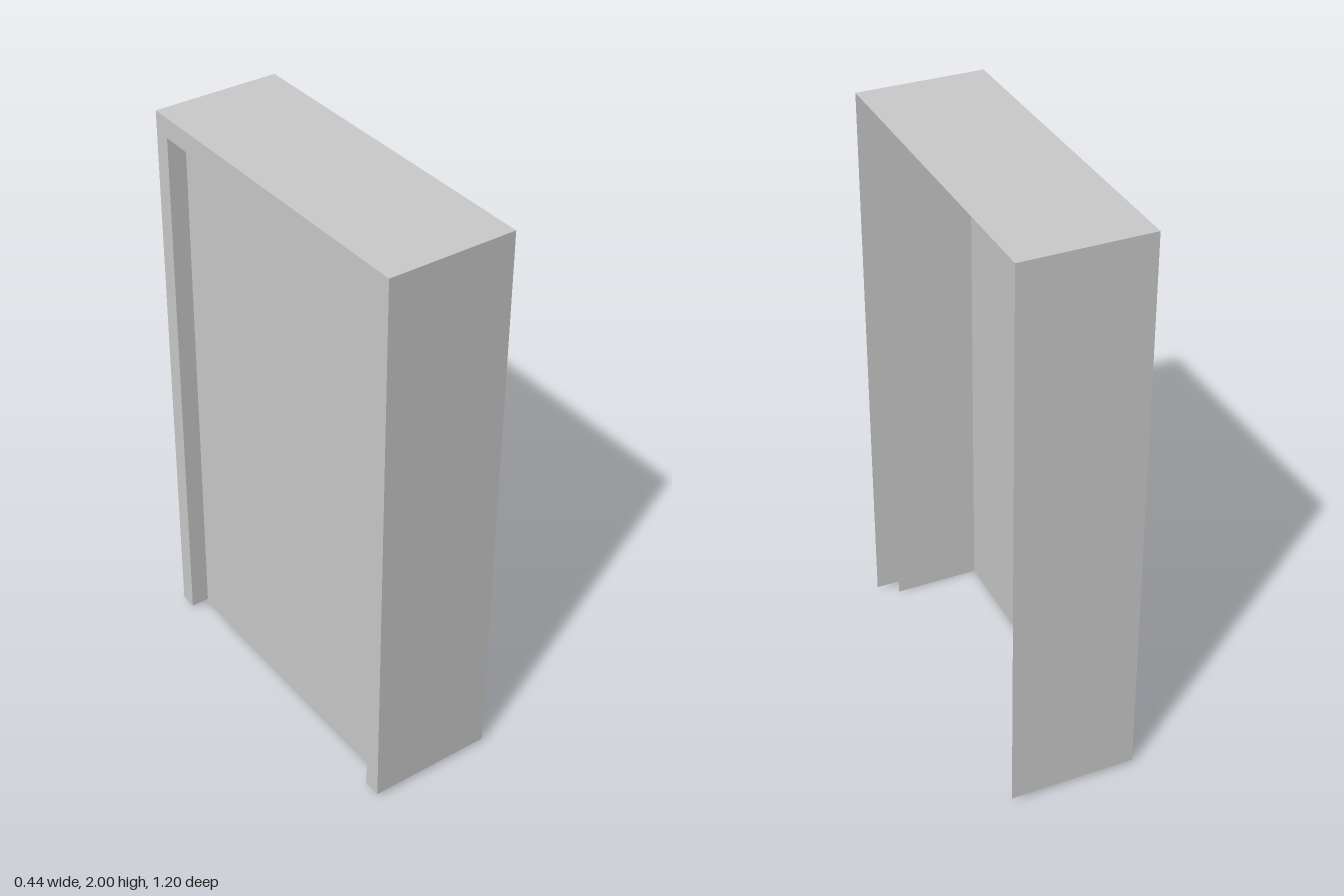
import * as THREE from 'three';

const material = new THREE.MeshStandardMaterial({ color: 0xcccccc, flatShading: true, side: THREE.DoubleSide });

// Sweeps a profile of [x, halfWidth, top] points around a door-shaped arch (up, over, down).
function archSweep(name, profile, bottom) {
  const rings = profile.map(([x, w, top]) => [
    [x, bottom, w], [x, top, w], [x, top, -w], [x, bottom, -w],
  ]);
  const positions = [];
  for (let i = 0; i < rings.length - 1; i++) {
    for (let k = 0; k < 3; k++) {
      const a = rings[i][k], b = rings[i][k + 1];
      const c = rings[i + 1][k + 1], d = rings[i + 1][k];
      positions.push(...a, ...b, ...c, ...a, ...c, ...d);
    }
  }
  const geometry = new THREE.BufferGeometry();
  geometry.setAttribute('position', new THREE.Float32BufferAttribute(positions, 3));
  geometry.computeVertexNormals();
  const mesh = new THREE.Mesh(geometry, material);
  mesh.name = name;
  return mesh;
}

export function createModel() {
  const group = new THREE.Group();
  group.name = 'doorFrame';

  const panelX = -0.155;

  // Outer casing: side walls and top, narrow rim, and reveal running in to the panel
  group.add(archSweep('outerFrame', [
    [0.22, 0.6, 2],
    [-0.22, 0.6, 2],
    [-0.22, 0.54, 1.93],
    [panelX, 0.54, 1.93],
  ], 0.015));

  // Inner lining, set in from the casing and open on the +x side
  group.add(archSweep('innerLining', [
    [panelX, 0.56, 1.965],
    [0.15, 0.56, 1.965],
  ], 0));

  // Panel closing the recess
  const panel = new THREE.Mesh(new THREE.PlaneGeometry(1.12, 1.965), material);
  panel.name = 'doorPanel';
  panel.rotation.y = Math.PI / 2;
  panel.position.set(panelX, 1.965 / 2, 0);
  group.add(panel);

  return group;
}
